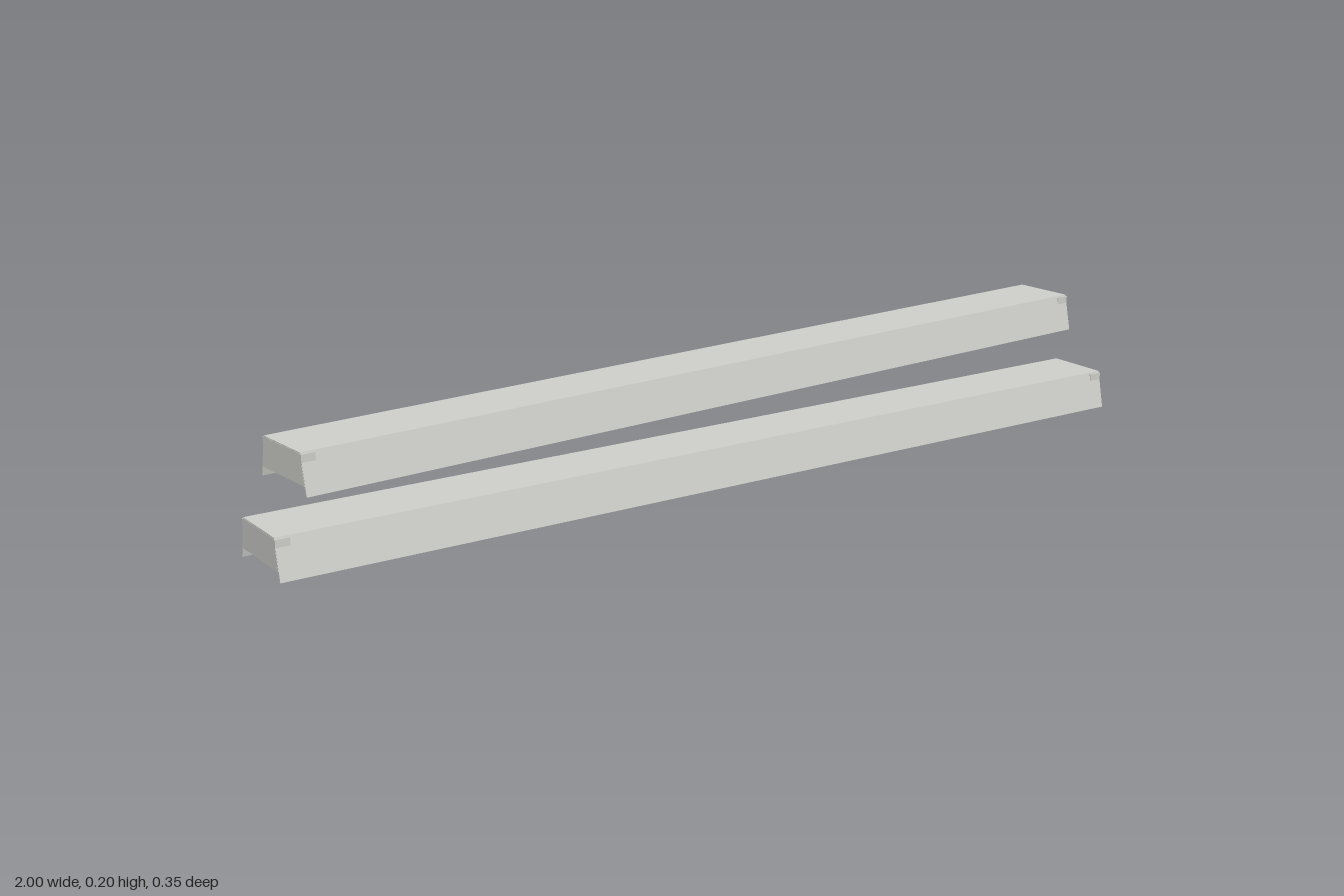
import * as THREE from 'three';

const LENGTH = 1.92, HEIGHT = 0.077;
const BOTTOM = 0.082, TOP = 0.066; // half widths of the tapered housing

export function createModel() {
  const metal = new THREE.MeshStandardMaterial({ color: 0xd0d0cc });
  metal.name = 'painted metal';
  const glass = new THREE.MeshStandardMaterial({ color: 0xececea });
  glass.name = 'tube white';

  const add = (parent, name, geometry, material) => {
    const mesh = new THREE.Mesh(geometry, material);
    mesh.name = name;
    parent.add(mesh);
    return mesh;
  };

  // Extrudes a z-y outline along x, centred on x = 0
  const alongX = (points, length) => {
    const shape = new THREE.Shape(points.map(([a, b]) => new THREE.Vector2(a, b)));
    const geometry = new THREE.ExtrudeGeometry(shape, { depth: length, bevelEnabled: false });
    return geometry.translate(0, 0, -length / 2).rotateY(Math.PI / 2);
  };
  const halfWidth = (y) => BOTTOM + (TOP - BOTTOM) * (y / HEIGHT);

  function createFixture(name) {
    const fixture = new THREE.Group();
    fixture.name = name;
    const t = 0.003;

    // Open-bottomed sheet metal channel
    add(fixture, 'housing', alongX([
      [-BOTTOM, 0], [-BOTTOM + t, 0], [-TOP + t, HEIGHT - t], [TOP - t, HEIGHT - t],
      [BOTTOM - t, 0], [BOTTOM, 0], [TOP, HEIGHT], [-TOP, HEIGHT],
    ], LENGTH), metal);

    for (const end of [-1, 1]) {
      // End plate stops above the lower edge of the sides
      const low = 0.018, high = HEIGHT - 0.002;
      const wl = halfWidth(low) - 0.001, wh = halfWidth(high) - 0.001;
      const cap = add(fixture, 'endCap', alongX([[-wl, low], [wl, low], [wh, high], [-wh, high]], 0.004), metal);
      cap.position.x = end * (LENGTH / 2 - 0.0015);

      for (const side of [-1, 1]) {
        // Folded tabs gripping the sides
        const tab = add(fixture, 'capTab', new THREE.BoxGeometry(0.028, 0.018, 0.006), metal);
        tab.position.set(end * (LENGTH / 2 - 0.0135), 0.065, side * 0.0667);
        // Lamp holders
        const holder = add(fixture, 'lampHolder', new THREE.BoxGeometry(0.02, 0.054, 0.03), metal);
        holder.position.set(end * (LENGTH / 2 - 0.013), 0.048, side * 0.033);
      }
    }

    // Pair of lamp tubes
    for (const side of [-1, 1]) {
      const tube = add(fixture, 'lampTube', new THREE.CylinderGeometry(0.02, 0.02, LENGTH - 0.05, 20), glass);
      tube.rotation.z = Math.PI / 2;
      tube.position.set(0, 0.036, side * 0.033);
    }
    return fixture;
  }

  const model = new THREE.Group();
  model.name = 'lightFixtures';

  const lower = createFixture('lowerFixture');
  lower.position.set(-0.037, 0, 0.053);
  lower.rotation.y = -0.039;

  const upper = createFixture('upperFixture');
  upper.position.set(0.035, 0.126, -0.059);
  upper.rotation.y = 0.034;

  model.add(lower, upper);
  return model;
}
